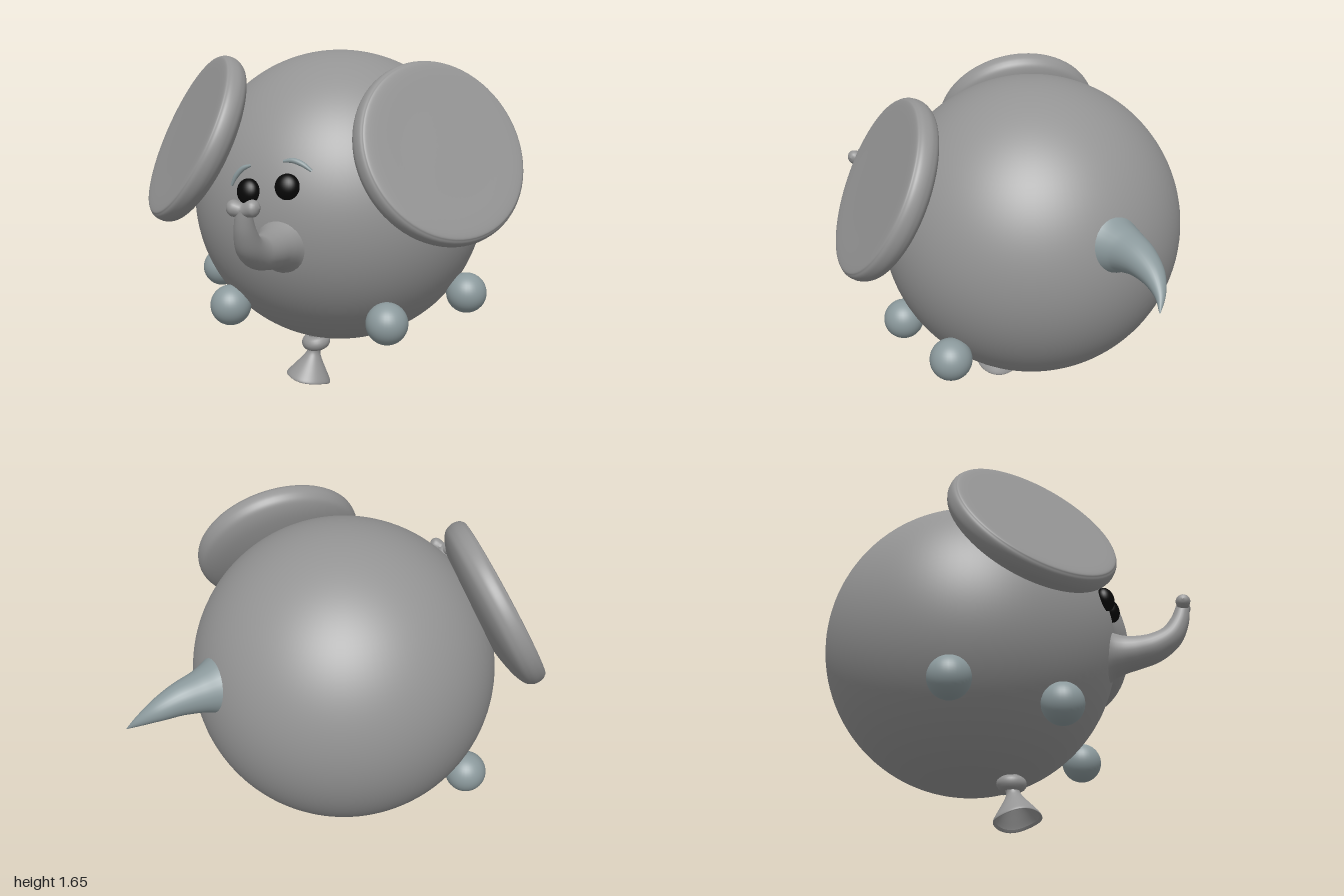
import * as THREE from 'three';
import { mergeVertices } from 'three/addons/utils/BufferGeometryUtils.js';

const grey = new THREE.MeshStandardMaterial({ color: 0x949494 });
const greyOpen = new THREE.MeshStandardMaterial({ color: 0x949494, side: THREE.DoubleSide });
const paleBlue = new THREE.MeshStandardMaterial({ color: 0x8b999c });
const black = new THREE.MeshStandardMaterial({ color: 0x070707 });

const CENTRE = new THREE.Vector3(-0.015, 0.934, -0.095);
const RADIUS = 0.72;
const UP = new THREE.Vector3(0, 1, 0);
const v = (x, y, z) => new THREE.Vector3(x, y, z);

function add(parent, name, geometry, material, position) {
  const mesh = new THREE.Mesh(geometry, material);
  mesh.name = name;
  if (position) mesh.position.copy(position);
  parent.add(mesh);
  return mesh;
}

// Point on the front of the round body at a given x and y
function onBody(x, y, lift = 0) {
  const dx = x - CENTRE.x, dy = y - CENTRE.y;
  const z = Math.sqrt(RADIUS * RADIUS - dx * dx - dy * dy);
  return v(dx, dy, z).setLength(RADIUS + lift).add(CENTRE);
}

// Tube whose radius varies; each stop is [x, y, z, radius]
function taperedTube(stops, segments = 48, sides = 28) {
  const path = new THREE.CatmullRomCurve3(stops.map(s => v(s[0], s[1], s[2])));
  const radii = new THREE.CatmullRomCurve3(stops.map((s, i) => v(i, s[3], 0)));
  const geometry = new THREE.TubeGeometry(path, segments, 1, sides);
  const pos = geometry.attributes.position;
  const p = v(0, 0, 0);
  for (let i = 0; i <= segments; i++) {
    const c = path.getPointAt(i / segments);
    const r = radii.getPoint(path.getUtoTmapping(i / segments)).y;
    for (let j = 0; j <= sides; j++) {
      const k = i * (sides + 1) + j;
      p.fromBufferAttribute(pos, k).sub(c).multiplyScalar(r).add(c);
      pos.setXYZ(k, p.x, p.y, p.z);
    }
  }
  geometry.deleteAttribute('normal');
  geometry.deleteAttribute('uv');
  const merged = mergeVertices(geometry, 1e-5);
  merged.computeVertexNormals();
  return merged;
}

// Lathe through a smoothed profile
function smoothLathe(points, steps, sides) {
  const curve = new THREE.SplineCurve(points.map(p => new THREE.Vector2(...p)));
  const profile = curve.getPoints(steps);
  profile.forEach(p => { p.x = Math.max(p.x, 0); });
  return new THREE.LatheGeometry(profile, sides);
}

export function createModel() {
  const model = new THREE.Group();
  model.name = 'balloonElephant';

  // Round body
  add(model, 'body', new THREE.SphereGeometry(RADIUS, 96, 64), grey, CENTRE);

  // Ears: thick discs, flat outside and domed towards the body
  const earShape = smoothLathe([
    [0, -0.125], [0.18, -0.118], [0.32, -0.092], [0.395, -0.06], [0.42, -0.025],
    [0.422, 0.01], [0.41, 0.036], [0.375, 0.048], [0.2, 0.047], [0, 0.047],
  ], 72, 72);
  // Four round feet and two ears, mirrored
  const footShape = new THREE.SphereGeometry(0.098, 32, 24);
  for (const side of [1, -1]) {
    const label = side > 0 ? 'left' : 'right';
    const ear = add(model, label + 'Ear', earShape, grey, v(side * 0.604, 1.25, 0.317));
    ear.quaternion.setFromUnitVectors(UP, v(side * 0.675, 0.45, 0.575).normalize());
    add(model, label + 'FrontFoot', footShape, paleBlue, v(side * 0.393, 0.463, 0.4));
    add(model, label + 'RearFoot', footShape, paleBlue, v(side * 0.66 - 0.004, 0.506, -0.05));
  }

  // Trunk curling upward, flared where it meets the face
  add(model, 'trunk', taperedTube([
    [-0.04, 0.845, 0.53, 0.2], [-0.04, 0.845, 0.595, 0.128], [-0.043, 0.845, 0.66, 0.096],
    [-0.048, 0.848, 0.73, 0.082], [-0.055, 0.862, 0.81, 0.073], [-0.055, 0.91, 0.89, 0.06],
    [-0.05, 0.985, 0.937, 0.047], [-0.045, 1.05, 0.957, 0.037], [-0.042, 1.09, 0.965, 0.03],
  ]), grey);
  // Two-lobed trunk tip
  add(model, 'trunkTip', taperedTube([
    [-0.116, 1.085, 0.965, 0.001], [-0.11, 1.085, 0.965, 0.021], [-0.088, 1.085, 0.965, 0.035],
    [-0.042, 1.078, 0.965, 0.029], [0.003, 1.09, 0.965, 0.036], [0.025, 1.093, 0.965, 0.021],
    [0.031, 1.093, 0.965, 0.001],
  ], 36, 20), grey);

  // Eyes: flattened beads on the face
  for (const [x, y] of [[-0.19, 1.072], [0.0, 1.108]]) {
    const spot = onBody(x, y, 0.01);
    const eye = add(model, 'eye', new THREE.SphereGeometry(1, 32, 20), black, spot);
    eye.scale.set(0.056, 0.058, 0.042);
    eye.lookAt(spot.clone().multiplyScalar(2).sub(CENTRE));
  }

  // Eyebrows: thin arched strokes along the face
  const brows = [
    [[-0.295, 1.085], [-0.272, 1.13], [-0.238, 1.165], [-0.195, 1.183]],
    [[-0.035, 1.213], [0.01, 1.218], [0.055, 1.205], [0.1, 1.178]],
  ];
  for (const brow of brows) {
    const widths = [0.006, 0.012, 0.012, 0.006];
    const stops = brow.map(([x, y], i) => [...onBody(x, y, 0.002).toArray(), widths[i]]);
    add(model, 'eyebrow', taperedTube(stops, 24, 12), paleBlue);
  }

  // Horn-like tail, flared at the root, bending sideways and down
  add(model, 'tail', taperedTube([
    [0.275, 1.08, -0.615, 0.2], [0.305, 1.083, -0.675, 0.135], [0.34, 1.088, -0.75, 0.098],
    [0.39, 1.084, -0.835, 0.075], [0.45, 1.056, -0.918, 0.051], [0.513, 1.012, -0.974, 0.024],
    [0.57, 0.964, -1.0, 0.002],
  ]), paleBlue);

  // Tied balloon neck: knot above a flared open skirt
  const neck = new THREE.Group();
  neck.name = 'balloonNeck';
  neck.position.set(-0.068, 0.21, 0.115);
  neck.quaternion.setFromUnitVectors(v(0, -1, 0), v(-0.16, -1, 0.17).normalize());
  model.add(neck);
  const knot = add(neck, 'knot', new THREE.TorusGeometry(0.035, 0.036, 16, 36), grey, v(0, 0.01, 0));
  knot.rotation.set(Math.PI / 2 + 0.25, 0.25, 0);
  add(neck, 'knotStem', new THREE.CylinderGeometry(0.05, 0.034, 0.12, 24), grey, v(0, 0.03, 0));
  const skirt = smoothLathe([
    [0.1, -0.172], [0.111, -0.182], [0.109, -0.168], [0.079, -0.122],
    [0.048, -0.075], [0.033, -0.04], [0.04, 0.0],
  ], 36, 48);
  // Gentle waves in the rim
  const pos = skirt.attributes.position;
  for (let i = 0; i < pos.count; i++) {
    const a = Math.atan2(pos.getZ(i), pos.getX(i));
    const w = Math.max(0, -pos.getY(i) / 0.18);
    pos.setY(i, pos.getY(i) + 0.004 * w * w * Math.sin(3 * a));
  }
  add(neck, 'skirt', skirt, greyOpen);

  return model;
}
